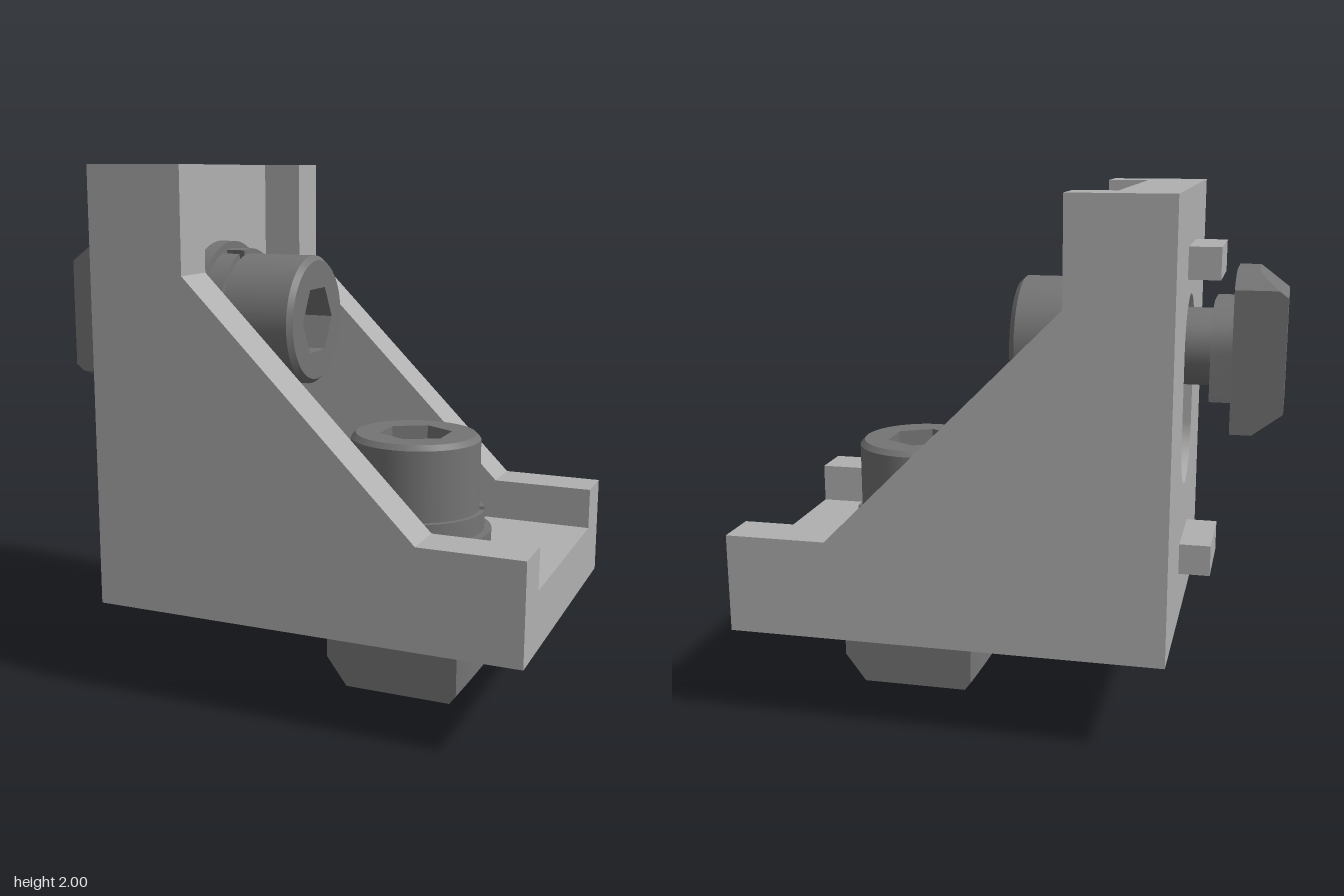
import * as THREE from 'three';
import { toCreasedNormals } from 'three/addons/utils/BufferGeometryUtils.js';
import { ConvexGeometry } from 'three/addons/geometries/ConvexGeometry.js';

const V2 = (x, y) => new THREE.Vector2(x, y);

export function createModel() {
  const castGrey = new THREE.MeshStandardMaterial({ color: 0xb0b0b0 });
  castGrey.name = 'castGrey';
  const steelGrey = new THREE.MeshStandardMaterial({ color: 0x757575 });
  steelGrey.name = 'steelGrey';

  const add = (parent, name, geometry, material, x = 0, y = 0, z = 0) => {
    const mesh = new THREE.Mesh(geometry, material);
    mesh.name = name;
    mesh.position.set(x, y, z);
    parent.add(mesh);
    return mesh;
  };
  // Extrude a plan shape (x, -z) upward by the given height
  const slab = (shape, height) => toCreasedNormals(
    new THREE.ExtrudeGeometry(shape, { depth: height, bevelEnabled: false, curveSegments: 32 })
      .rotateX(-Math.PI / 2), 0.5);

  const LOW = 0.358, FLOOR = 0.578, BACK = -0.642, INNER = 0.412, OUTER = 0.588;
  const SCREW_X = 0.41;

  // Nut outline: a bar with two opposite corners rounded for turning into a slot
  const nutPlan = (halfLength, halfWidth) => {
    const end = Math.asin(Math.min(1, halfWidth / halfLength));
    const pts = [];
    for (const s of [1, -1]) {
      pts.push(V2(s * halfLength, -s * halfWidth));
      for (let i = 0; i <= 12; i++) {
        const a = end * i / 12;
        pts.push(V2(s * halfLength * Math.cos(a), s * halfLength * Math.sin(a)));
      }
    }
    return pts; // x, z
  };

  function fastener() {
    const g = new THREE.Group();
    g.name = 'fastener';

    // Slot nut with sloped ends
    const points = [];
    for (const p of nutPlan(0.293, 0.175)) {
      points.push(new THREE.Vector3(p.x, 0.19, p.y));
      points.push(new THREE.Vector3(p.x, Math.max(0, (Math.abs(p.x) - 0.21) / 0.083 * 0.11), p.y));
    }
    for (const x of [-0.21, 0.21]) for (const z of [-0.175, 0.175]) points.push(new THREE.Vector3(x, 0, z));
    add(g, 'slotNut', toCreasedNormals(new ConvexGeometry(points), 0.4), steelGrey);
    const collar = new THREE.Shape(nutPlan(0.175, 0.175).map(p => V2(p.x, -p.y)));
    add(g, 'nutCollar', slab(collar, 0.08), steelGrey, 0, 0.188);

    // Screw shank and flat washer
    add(g, 'shank', new THREE.CylinderGeometry(0.145, 0.145, 0.6, 40), steelGrey, 0, 0.41);
    add(g, 'flatWasher', new THREE.CylinderGeometry(0.295, 0.295, 0.057, 64), steelGrey, 0, FLOOR + 0.0285);

    // Split spring washer
    const ring = new THREE.Shape();
    const from = 0.35, to = Math.PI * 2 + 0.19;
    ring.absarc(0, 0, 0.268, from, to, false);
    ring.absarc(0, 0, 0.15, to, from, true);
    add(g, 'springWasher', slab(ring, 0.075), steelGrey, 0, 0.635);

    // Cap head with a hexagonal socket
    const side = new THREE.LatheGeometry([V2(0.14, 0.71), V2(0.248, 0.71), V2(0.248, 0.98), V2(0.23, 1)], 64);
    add(g, 'headSide', toCreasedNormals(side, 0.5), steelGrey);
    const face = new THREE.Shape().absarc(0, 0, 0.23, 0, Math.PI * 2, false);
    const hex = [];
    for (let i = 0; i < 6; i++) {
      const a = Math.PI / 2 - i * Math.PI / 3;
      hex.push(V2(0.14 * Math.cos(a), 0.14 * Math.sin(a)));
    }
    face.holes.push(new THREE.Path(hex));
    add(g, 'headFace', new THREE.ShapeGeometry(face, 32).rotateX(-Math.PI / 2), steelGrey, 0, 1);
    const socket = new THREE.LatheGeometry([V2(0.14, 1), V2(0.14, 0.86), V2(0, 0.8)], 6).toNonIndexed();
    socket.computeVertexNormals();
    add(g, 'hexSocket', socket, steelGrey);

    g.position.x = SCREW_X;
    return g;
  }

  // One leg of the bracket: slotted plate, locating lugs and fastener
  function leg(name, startX) {
    const g = new THREE.Group();
    g.name = name;
    const plate = new THREE.Shape([V2(startX, -INNER), V2(1, -INNER), V2(1, INNER), V2(startX, INNER)]);
    const slot = new THREE.Path();
    slot.absarc(SCREW_X, 0, 0.195, Math.PI / 2, -Math.PI / 2, true);
    slot.absarc(0.073, 0, 0.195, -Math.PI / 2, -Math.PI * 1.5, true);
    plate.holes.push(slot);
    add(g, 'slottedPlate', slab(plate, FLOOR - LOW), castGrey, 0, LOW);
    for (const x of [-0.382, 0.735])
      add(g, 'locatingLug', new THREE.BoxGeometry(0.118, 0.118, 0.318), castGrey, x, LOW - 0.059);
    g.add(fastener());
    return g;
  }

  const model = new THREE.Group();
  model.name = 'angleBracket';
  model.add(leg('baseLeg', BACK));

  // The upright leg is the base leg turned half round about the diagonal
  const upright = leg('uprightLeg', FLOOR - 1);
  upright.quaternion.setFromAxisAngle(new THREE.Vector3(1, 1, 0).normalize(), Math.PI);
  upright.position.set(-1, 1, 0);
  model.add(upright);

  // Gusset side walls
  const wall = new THREE.Shape([
    V2(BACK, LOW), V2(1, LOW), V2(1, 0.735), V2(0.615, 0.735),
    V2(-0.265, 1.615), V2(-0.265, 2), V2(BACK, 2),
  ]);
  const wallGeometry = new THREE.ExtrudeGeometry(wall, { depth: OUTER - INNER, bevelEnabled: false });
  add(model, 'leftWall', wallGeometry, castGrey, 0, 0, INNER);
  add(model, 'rightWall', wallGeometry, castGrey, 0, 0, -OUTER);

  return model;
}
